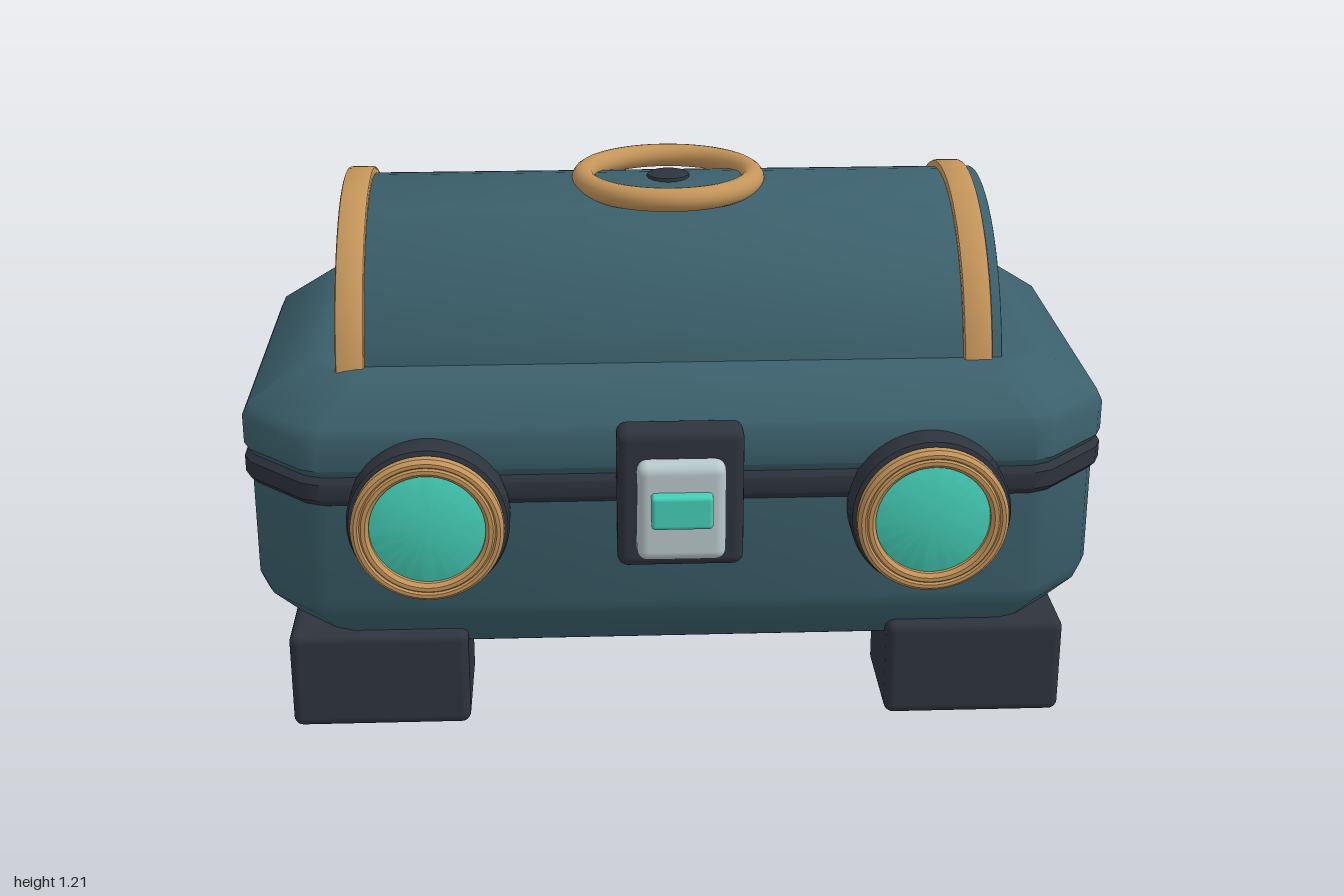
import * as THREE from 'three';
import { toCreasedNormals } from 'three/addons/utils/BufferGeometryUtils.js';
import { RoundedBoxGeometry } from 'three/addons/geometries/RoundedBoxGeometry.js';

const CZ = -0.07; // depth centre of the chest
const CREASE = 0.6;

function material(name, color) {
  const m = new THREE.MeshStandardMaterial({ color });
  m.name = name;
  return m;
}

// Soften a polyline: each inner point becomes two, slightly toward its neighbours
function soften(rows, d) {
  const toward = (a, b) => {
    const len = Math.hypot(...a.map((v, i) => b[i] - v));
    const t = Math.min(0.4, d / len);
    return a.map((v, i) => v + (b[i] - v) * t);
  };
  return rows.flatMap((p, i) =>
    i === 0 || i === rows.length - 1 ? [p] : [toward(p, rows[i - 1]), toward(p, rows[i + 1])]);
}

// Eight-sided plan outline with softened corners
function outline([y, hx, hz, c]) {
  const corners = [
    [hx, hz - c], [hx - c, hz], [c - hx, hz], [-hx, hz - c],
    [-hx, c - hz], [c - hx, -hz], [hx - c, -hz], [hx, c - hz],
  ];
  const closed = [corners[7], ...corners, corners[0]];
  return soften(closed, 0.025).slice(1, -1).map(([x, z]) => [x, y, z + CZ]);
}

// Closed shell from rows of [y, half width, half depth, corner cut]
function shell(rows, d) {
  const loops = soften(rows, d).map(outline);
  const pos = [];
  const n = loops[0].length;
  const last = loops.length - 1;
  for (let i = 0; i < n; i++) {
    const j = (i + 1) % n;
    for (let k = 0; k < last; k++) {
      const a = loops[k], b = loops[k + 1];
      pos.push(...a[i], ...b[i], ...a[j], ...a[j], ...b[i], ...b[j]);
    }
    pos.push(0, rows[0][0], CZ, ...loops[0][i], ...loops[0][j]);
    pos.push(0, rows.at(-1)[0], CZ, ...loops[last][j], ...loops[last][i]);
  }
  const g = new THREE.BufferGeometry();
  g.setAttribute('position', new THREE.Float32BufferAttribute(pos, 3));
  return toCreasedNormals(g, CREASE);
}

// Solid disc along +y, from 0 to h, with a small rounded rim
function disc(r, h, e, sides = 64) {
  const p = [[0, 0], [r - e, 0], [r - e * 0.3, e * 0.3], [r, e],
    [r, h - e], [r - e * 0.3, h - e * 0.3], [r - e, h], [0, h]];
  const g = new THREE.LatheGeometry(p.map(([x, y]) => new THREE.Vector2(x, y)), sides);
  return toCreasedNormals(g, CREASE);
}

export function createModel() {
  const model = new THREE.Group();
  model.name = 'chest';
  const teal = material('dark teal', 0x3b606c);
  const dark = material('charcoal', 0x2e343d);
  const brass = material('brass', 0xc4955a);
  const silver = material('silver', 0xb9c9cc);
  const aqua = material('aqua', 0x45d0b8);

  const add = (name, geometry, mat, x = 0, y = 0, z = 0, parent = model) => {
    const mesh = new THREE.Mesh(geometry, mat);
    mesh.name = name;
    mesh.position.set(x, y, z);
    parent.add(mesh);
    return mesh;
  };

  // Lower body, seam band and lid
  add('body', shell([
    [0.18, 0.78, 0.42, 0.08], [0.18, 0.84, 0.485, 0.1],
    [0.305, 0.985, 0.566, 0.16], [0.6, 0.985, 0.566, 0.16],
  ], 0.025), teal);
  add('seamBand', shell([
    [0.576, 0.97, 0.55, 0.16], [0.576, 1, 0.577, 0.165],
    [0.645, 1, 0.577, 0.165], [0.645, 0.97, 0.55, 0.16],
  ], 0.015), dark);
  add('lid', shell([
    [0.642, 0.97, 0.55, 0.16], [0.642, 1, 0.577, 0.165], [0.75, 1, 0.577, 0.165],
    [0.857, 0.84, 0.465, 0.1], [0.857, 0.76, 0.4, 0.08],
  ], 0.02), teal);

  // Barrel top with its two straps
  const barrel = disc(0.444, 1.5, 0.004).rotateZ(-Math.PI / 2);
  add('barrelTop', barrel, teal, -0.75, 0.736, CZ);
  const strap = disc(0.46, 0.066, 0.008).rotateZ(-Math.PI / 2);
  for (const x of [-0.775, 0.66]) add('barrelStrap', strap, brass, x, 0.736, CZ);

  // Carrying ring and its stud
  const ring = new THREE.TorusGeometry(0.204, 0.028, 16, 64).rotateX(Math.PI / 2);
  add('topRing', ring, brass, 0, 1.177, CZ);
  add('ringStud', disc(0.052, 0.04, 0.006, 16), dark, 0, 1.147, CZ);

  // Feet
  const foot = new RoundedBoxGeometry(0.416, 0.238, 0.288, 3, 0.022);
  for (const x of [-0.699, 0.699]) {
    for (const z of [0.339, -0.473]) add('foot', foot, dark, x, 0.119, z);
  }

  // Round front lamps
  const housing = disc(0.183, 0.09, 0.014).rotateX(Math.PI / 2);
  const rimProfile = [[0.13, 0], [0.165, 0], [0.171, 0.008], [0.171, 0.028],
    [0.163, 0.037], [0.155, 0.037], [0.151, 0.032], [0.147, 0.037],
    [0.138, 0.037], [0.13, 0.028], [0.13, 0]];
  const rim = toCreasedNormals(new THREE.LatheGeometry(
    rimProfile.map(([r, y]) => new THREE.Vector2(r, y)), 64), CREASE).rotateX(Math.PI / 2);
  const lens = disc(0.132, 0.022, 0.004).rotateX(Math.PI / 2);
  for (const x of [-0.566, 0.566]) {
    const lamp = new THREE.Group();
    lamp.name = 'lamp';
    lamp.position.set(x, 0.556, 0);
    add('lampHousing', housing, dark, 0, 0, 0.482, lamp);
    add('lampRim', rim, brass, 0, 0, 0.57, lamp);
    add('lampLens', lens, aqua, 0, 0, 0.567, lamp);
    model.add(lamp);
  }

  // Latch
  add('latchPlate', new RoundedBoxGeometry(0.286, 0.332, 0.085, 3, 0.025), dark, 0, 0.605, 0.526);
  add('latchPanel', new RoundedBoxGeometry(0.2, 0.236, 0.06, 3, 0.025), silver, 0, 0.592, 0.588);
  add('latchButton', new RoundedBoxGeometry(0.138, 0.08, 0.045, 3, 0.01), aqua, 0, 0.605, 0.623);

  return model;
}
